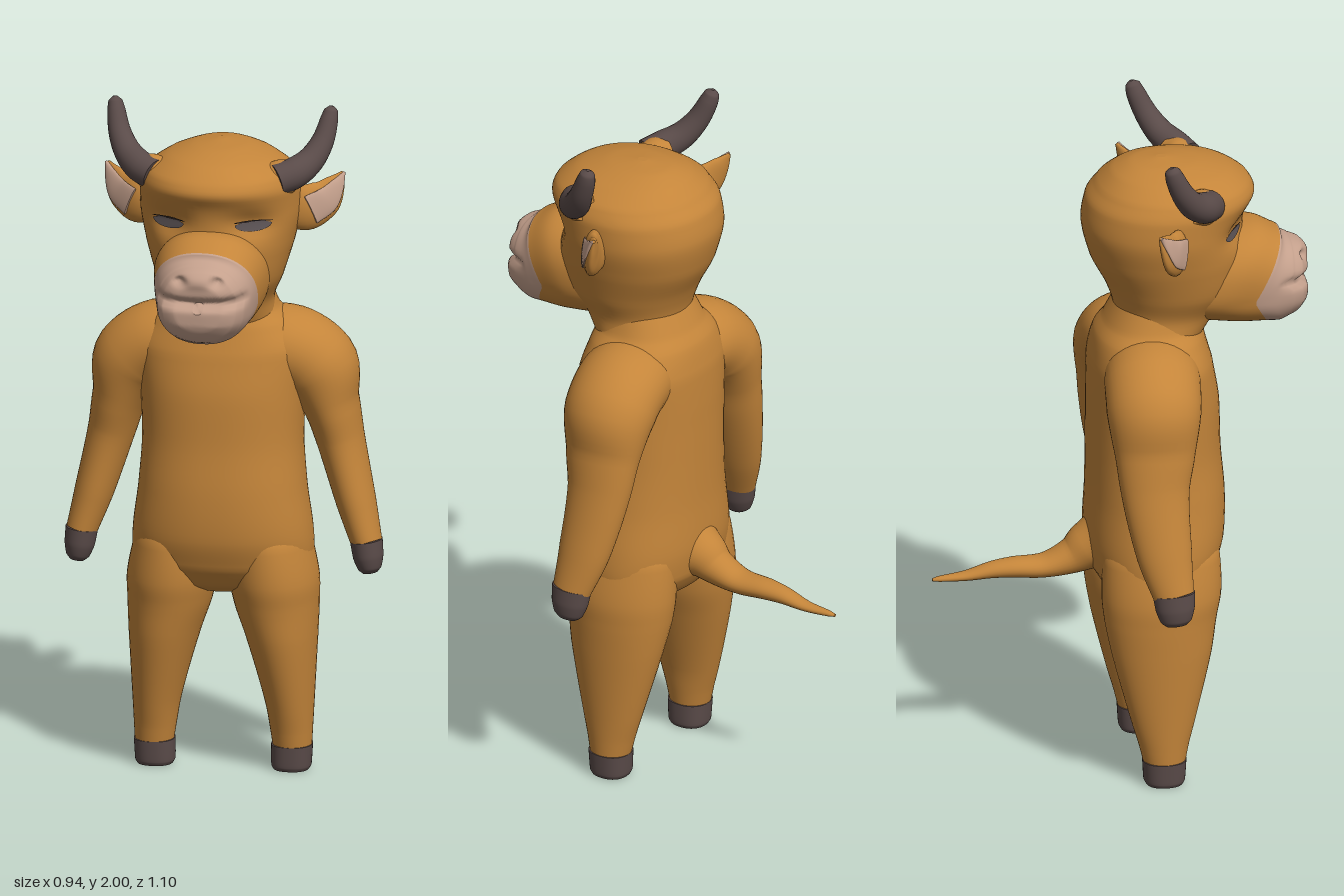
import * as THREE from 'three';

const V = (x, y, z) => new THREE.Vector3(x, y, z);
const X = V(1, 0, 0), Y = V(0, 1, 0), Z = V(0, 0, 1);
const bump = (d, w) => Math.exp(-((d / w) ** 2));

const paint = (name, color) => {
  const m = new THREE.MeshStandardMaterial({ color });
  m.name = name;
  return m;
};

// Smooth skin through rows of [x, y, z, halfU, halfV]. V follows the hint, the
// rings face along the path (or a fixed axis). splitRow starts a second material.
function loft(rows, { hint = Z, axis = null, n = 2, sides = 40, steps = 6, warp = null, splitRow = 0 } = {}) {
  const path = new THREE.CatmullRomCurve3(rows.map(r => V(r[0], r[1], r[2])));
  const size = new THREE.CatmullRomCurve3(rows.map(r => V(r[3], r[4], 0)));
  const rings = (rows.length - 1) * steps;
  const pos = [], index = [];
  const power = c => Math.sign(c) * Math.abs(c) ** (2 / n);
  const put = p => { if (warp) warp(p); pos.push(p.x, p.y, p.z); };
  for (let i = 0; i <= rings; i++) {
    const c = path.getPoint(i / rings), r = size.getPoint(i / rings);
    const t = axis || path.getTangent(i / rings);
    const v = hint.clone().addScaledVector(t, -hint.dot(t)).normalize();
    const u = v.clone().cross(t);
    for (let j = 0; j < sides; j++) {
      const a = (j / sides) * Math.PI * 2;
      put(c.clone().addScaledVector(u, r.x * power(Math.cos(a))).addScaledVector(v, r.y * power(Math.sin(a))));
    }
  }
  for (let i = 0; i < rings; i++) {
    for (let j = 0; j < sides; j++) {
      const k = (j + 1) % sides, a = i * sides + j, b = i * sides + k;
      index.push(a, b, a + sides, b, b + sides, a + sides);
    }
  }
  // end caps with their own vertices, so the rim stays crisp
  for (const ring of [0, rings]) {
    const first = pos.length / 3, mid = V(0, 0, 0);
    for (let j = 0; j < sides; j++) {
      const p = V().fromArray(pos, (ring * sides + j) * 3);
      mid.addScaledVector(p, 1 / sides);
      pos.push(p.x, p.y, p.z);
    }
    pos.push(mid.x, mid.y, mid.z);
    for (let j = 0; j < sides; j++) {
      const a = first + j, b = first + (j + 1) % sides;
      index.push(first + sides, ring ? a : b, ring ? b : a);
    }
  }
  const g = new THREE.BufferGeometry();
  g.setAttribute('position', new THREE.Float32BufferAttribute(pos, 3));
  g.setIndex(index);
  if (splitRow) {
    const cut = splitRow * steps * sides * 6;
    g.addGroup(0, cut, 0);
    g.addGroup(cut, index.length - cut, 1);
  }
  g.computeVertexNormals();
  return g;
}

export function createModel() {
  const group = new THREE.Group();
  const hide = paint('hide', 0xc4853a);
  const skin = paint('muzzleSkin', 0xc4a08c);
  const horn = paint('hornAndHoof', 0x5a4b49);
  const eye = paint('eyeGrey', 0x62595b);
  const lash = paint('lashBlack', 0x2b2221);
  const add = (name, geometry, material) => {
    const m = new THREE.Mesh(geometry, material);
    m.name = name;
    group.add(m);
    return m;
  };

  // torso and neck base
  add('torso', loft([
    [0, 0.54, 0.09, 0.08, 0.08], [0, 0.57, 0.09, 0.19, 0.14], [0, 0.63, 0.092, 0.262, 0.18],
    [0, 0.72, 0.1, 0.262, 0.2], [0, 0.85, 0.105, 0.245, 0.2], [0, 1.0, 0.1, 0.235, 0.193],
    [0, 1.15, 0.098, 0.24, 0.19], [0, 1.27, 0.09, 0.25, 0.178], [0, 1.35, 0.088, 0.205, 0.158],
    [0, 1.39, 0.095, 0.165, 0.14], [0, 1.46, 0.11, 0.14, 0.12],
  ], { axis: Y, n: 2.25, sides: 56 }), hide);

  // head, with eye sockets pressed in under the brow
  const head = add('head', loft([
    [0, 1.34, 0.1, 0.165, 0.13], [0, 1.42, 0.135, 0.155, 0.148], [0, 1.5, 0.155, 0.185, 0.19],
    [0, 1.6, 0.14, 0.215, 0.225], [0, 1.7, 0.128, 0.235, 0.236], [0, 1.77, 0.142, 0.234, 0.239],
    [0, 1.82, 0.157, 0.212, 0.22], [0, 1.86, 0.152, 0.152, 0.172], [0, 1.885, 0.135, 0.08, 0.1],
    [0, 1.895, 0.125, 0.012, 0.015],
  ], {
    axis: Y, n: 2.1, sides: 72,
    warp: p => {
      if (p.z > 0.1) p.z -= 0.025 * bump(Math.abs(p.x) - 0.12, 0.06) * bump(p.y - 1.69, 0.04);
      if (p.z > 0.1) p.z += 0.012 * bump(p.x, 0.2) * bump(p.y - 1.79, 0.03);
    },
  }), hide);

  // muzzle: hide behind, bare skin in front, with mouth and nostrils
  add('muzzle', loft([
    [0, 1.53, 0.18, 0.16, 0.14], [0, 1.525, 0.28, 0.165, 0.15], [0, 1.505, 0.375, 0.152, 0.136],
    [0, 1.495, 0.43, 0.142, 0.129], [0, 1.492, 0.49, 0.128, 0.122], [0, 1.492, 0.525, 0.108, 0.108],
    [0, 1.492, 0.546, 0.07, 0.07], [0, 1.492, 0.55, 0.015, 0.015],
  ], {
    axis: Z, hint: Y, n: 2.25, sides: 72, steps: 8, splitRow: 2,
    warp: p => {
      const front = THREE.MathUtils.smoothstep(p.z, 0.42, 0.5);
      p.z += 0.55 * Math.abs(p.y - 1.47) * THREE.MathUtils.clamp((0.5 - p.z) / 0.12, 0, 1);
      const gap = bump(p.y - 1.505 - 0.6 * p.x * p.x, 0.014);
      const nostril = bump(Math.abs(p.x) - 0.055, 0.018) * bump(p.y - 1.572, 0.013);
      p.z -= front * (0.03 * gap + 0.022 * nostril + 0.3 * Math.max(0, 1.44 - p.y));
      p.z += front * 0.012 * bump(p.y - 1.58, 0.025) * bump(p.x, 0.07);
    },
  }), [hide, skin]);

  // thin plates laid onto the face
  const ray = new THREE.Raycaster();
  const layOnFace = (name, points, x, y, material) => {
    const shape = new THREE.Shape(points.map(p => new THREE.Vector2(x + p[0], y + p[1])));
    const g = new THREE.ShapeGeometry(shape), a = g.attributes.position;
    for (let i = 0; i < a.count; i++) {
      ray.set(V(a.getX(i), a.getY(i), 2), V(0, 0, -1));
      const hit = ray.intersectObject(head)[0];
      a.setZ(i, (hit ? hit.point.z : 0.3) + 0.005);
    }
    g.computeVertexNormals();
    add(name, g, material);
  };
  const eyeShape = [], lashShape = [];
  for (let i = 0; i <= 12; i++) {
    const a = (i / 12) * Math.PI;
    eyeShape.push([-0.05 * Math.cos(a), -0.022 * Math.sin(a)]);
    lashShape.push([-0.053 * Math.cos(a), 0.006 * Math.sin(a)]);
  }
  eyeShape.push([0.03, 0.008], [-0.03, 0.008]);

  for (const s of [1, -1]) {
    const side = s > 0 ? 'left' : 'right';
    const flip = rows => rows.map(([x, ...rest]) => [s * x, ...rest]);

    // eyes
    layOnFace(side + 'Eye', eyeShape, s * 0.125, 1.692, eye);
    layOnFace(side + 'Lash', lashShape, s * 0.125, 1.698, lash);

    // legs and hooves
    add(side + 'Leg', loft(flip([
      [0.2025, 0.07, 0.097, 0.057, 0.062], [0.2, 0.12, 0.096, 0.062, 0.073], [0.195, 0.2, 0.095, 0.071, 0.095],
      [0.172, 0.4, 0.095, 0.104, 0.146], [0.157, 0.5, 0.094, 0.123, 0.164], [0.15, 0.58, 0.098, 0.13, 0.175],
      [0.14, 0.7, 0.1, 0.115, 0.17], [0.13, 0.8, 0.1, 0.06, 0.1],
    ]), { axis: Y }), hide);
    add(side + 'FootHoof', loft(flip([
      [0.2, 0, 0.097, 0.052, 0.054], [0.2, 0.012, 0.097, 0.058, 0.06], [0.202, 0.075, 0.097, 0.06, 0.064],
    ]), { axis: Y, n: 2.3 }), horn);

    // arms and hand hooves
    add(side + 'Arm', loft(flip([
      [0.08, 1.265, 0.08, 0.11, 0.13], [0.19, 1.26, 0.065, 0.12, 0.14], [0.268, 1.205, 0.055, 0.12, 0.138],
      [0.31, 1.09, 0.05, 0.082, 0.118], [0.337, 0.98, 0.046, 0.069, 0.1], [0.385, 0.8, 0.064, 0.057, 0.081],
      [0.419, 0.685, 0.085, 0.045, 0.06],
    ])), hide);
    add(side + 'HandHoof', loft(flip([
      [0.418, 0.692, 0.085, 0.047, 0.062], [0.424, 0.645, 0.088, 0.044, 0.057],
      [0.429, 0.61, 0.09, 0.034, 0.045], [0.431, 0.597, 0.091, 0.022, 0.03],
    ])), horn);

    // horns, on a low swelling of hide
    add(side + 'HornBase', loft(flip([
      [0.14, 1.79, 0.22, 0.05, 0.05], [0.19, 1.805, 0.21, 0.054, 0.052], [0.225, 1.815, 0.185, 0.04, 0.04],
    ])), hide);
    add(side + 'Horn', loft(flip([
      [0.18, 1.805, 0.235, 0.046, 0.046], [0.225, 1.82, 0.21, 0.046, 0.045], [0.268, 1.85, 0.17, 0.04, 0.04],
      [0.298, 1.9, 0.135, 0.033, 0.034], [0.313, 1.96, 0.108, 0.026, 0.028], [0.317, 1.985, 0.1, 0.02, 0.022],
      [0.318, 1.997, 0.097, 0.006, 0.006],
    ]), { sides: 24 }), horn);

    // ears with a bare inner face
    const ear = [
      [0.19, 1.685, 0.135, 0.05, 0.03], [0.25, 1.695, 0.125, 0.068, 0.03], [0.295, 1.718, 0.1, 0.06, 0.022],
      [0.325, 1.755, 0.077, 0.034, 0.014], [0.345, 1.788, 0.058, 0.005, 0.004],
    ];
    const hint = V(s * 0.45, 0, 1).normalize();
    add(side + 'Ear', loft(flip(ear), { hint, sides: 28 }), hide);
    const inner = ear.slice(1).map(([x, y, z, u, v]) => [x + 0.45 * v + 0.002, y, z + 0.8 * v, u * 0.68, 0.007]);
    add(side + 'InnerEar', loft(flip(inner), { hint, sides: 24 }), skin);
  }

  // tail
  add('tail', loft([
    [0, 0.69, -0.03, 0.1, 0.13], [0, 0.675, -0.09, 0.075, 0.075], [0, 0.648, -0.14, 0.056, 0.052],
    [0, 0.625, -0.22, 0.048, 0.034], [0, 0.626, -0.31, 0.04, 0.029], [0, 0.623, -0.37, 0.032, 0.024],
    [0, 0.61, -0.45, 0.022, 0.014], [-0.003, 0.607, -0.53, 0.011, 0.008], [-0.004, 0.606, -0.55, 0.005, 0.004],
  ], { hint: Y, sides: 28 }), hide);

  return group;
}
